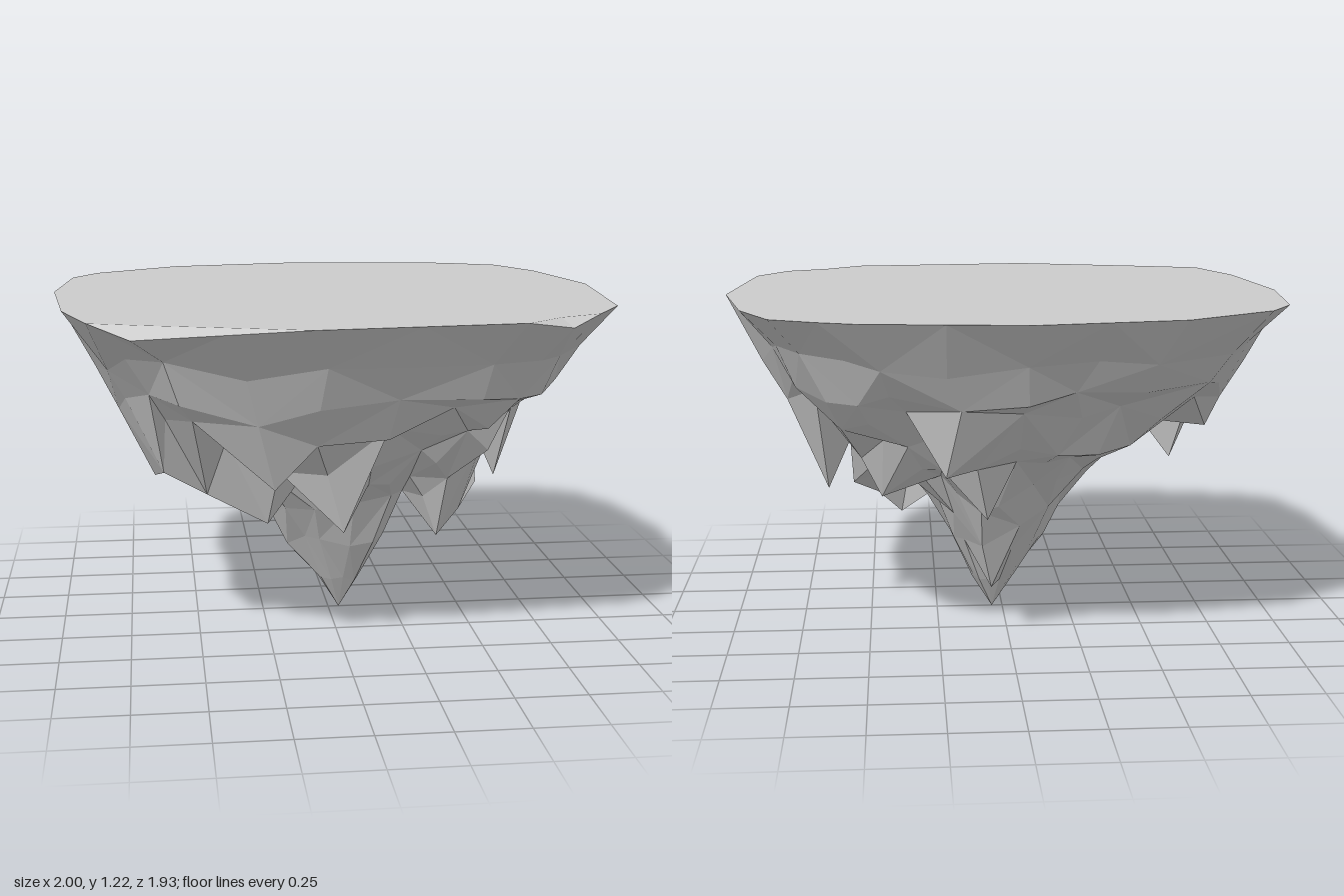
import * as THREE from 'three';

const TOP = 1.22;
const APEX = [0.04, 0, 0];

// Rim outline seen from above: x, z and how far the corner drops below the plateau
const OUTLINE = [
  [1, -0.1, 0], [0.94, 0.52, 0], [0.83, 0.7, 0], [0.71, 0.81, 0.03], [0.54, 0.89, 0],
  [-0.14, 0.96, 0], [-0.72, 0.85, 0.04], [-0.86, 0.73, 0], [-0.95, 0.44, 0],
  [-1, -0.08, 0], [-0.95, -0.52, 0], [-0.86, -0.67, 0], [-0.54, -0.88, 0],
  [-0.04, -0.97, 0], [0.51, -0.91, 0], [0.64, -0.86, 0], [0.8, -0.78, 0], [0.91, -0.55, 0],
];

// Rings of the underside: fraction of the rim radius, height
const RINGS = [
  [0.87, 1.07], [0.79, 0.94], [0.69, 0.84], [0.57, 0.75], [0.45, 0.66],
  [0.34, 0.57], [0.25, 0.46], [0.17, 0.3], [0.08, 0.13],
];

// Hanging rock spikes: tip x, y, z and steepness
const SPIKES = [
  // front
  [0, 0.43, 0.48, 2.8], [-0.26, 0.45, 0.4, 2], [-0.47, 0.55, 0.35, 2],
  [-0.25, 0.62, 0.6, 2], [-0.62, 0.64, 0.38, 2],
  // left flank
  [0.38, 0.33, 0.2, 2.4], [0.47, 0.42, 0.16, 2.4], [0.56, 0.49, 0.03, 2.4],
  [0.65, 0.49, -0.06, 2.2], [0.45, 0.52, -0.32, 2], [0.79, 0.84, -0.12, 1.6],
  [0.52, 0.7, 0.42, 2],
  // back
  [0.08, 0.46, -0.45, 2], [0.23, 0.66, -0.65, 2.2], [-0.3, 0.7, -0.5, 1.8],
  // right flank
  [-0.65, 0.56, 0.08, 2], [-0.73, 0.74, -0.2, 1.8],
  // shoulders of the central spike
  [0.05, 0.12, -0.15, 2], [-0.16, 0.27, 0.04, 2],
];

function seeded(seed) {
  return () => {
    seed = (seed * 16807) % 2147483647;
    return seed / 2147483647 - 0.5;
  };
}

// Split the long rim edges so that the columns are evenly spread
function rimColumns() {
  const columns = [];
  OUTLINE.forEach((a, i) => {
    const b = OUTLINE[(i + 1) % OUTLINE.length];
    columns.push(a);
    if (Math.hypot(a[0] - b[0], a[1] - b[1]) > 0.43) {
      columns.push(a.map((v, k) => (v + b[k]) / 2));
    }
  });
  return columns;
}

function flatMesh(name, corners, material) {
  const geometry = new THREE.BufferGeometry();
  geometry.setAttribute('position', new THREE.Float32BufferAttribute(corners.flat(), 3));
  geometry.computeVertexNormals();
  const mesh = new THREE.Mesh(geometry, material);
  mesh.name = name;
  return mesh;
}

function buildUnderside(columns, material) {
  const rand = seeded(4217);
  const n = columns.length;
  const rings = [columns.map(([x, z, drop]) => [x, TOP - drop, z])];

  for (const [t, height] of RINGS) {
    const rough = t > 0.75 ? 0.4 : 1;
    const ring = [];
    for (let i = 0; i < n; i++) {
      // shift along the rim and radially for a broken rock look
      const shift = rand() * 0.5 * rough;
      const next = columns[(i + (shift > 0 ? 1 : n - 1)) % n];
      const k = Math.abs(shift);
      const s = t * (1 + rand() * 0.08 * rough);
      const x = THREE.MathUtils.lerp(columns[i][0], next[0], k) * s + APEX[0] * (1 - s);
      const z = THREE.MathUtils.lerp(columns[i][1], next[1], k) * s;
      let y = height + rand() * 0.12 * rough * Math.min(1, t * 2);
      for (const [sx, sy, sz, steep] of SPIKES) {
        y = Math.min(y, sy + steep * Math.hypot(x - sx, z - sz));
      }
      ring.push([x, y, z]);
    }
    // the narrow inner rings use every second column only
    rings.push(t < 0.3 ? ring.map((p, i) => ring[i - (i % 2)]) : ring);
  }

  // Pull the nearest unused rock corner onto each spike tip
  const free = new Set(rings.slice(2).flat());
  for (const [sx, sy, sz] of SPIKES) {
    const distance = (p) => Math.hypot(p[0] - sx, p[2] - sz);
    const nearest = [...free].reduce((a, b) => (distance(b) < distance(a) ? b : a));
    nearest.splice(0, 3, sx, sy, sz);
    free.delete(nearest);
  }

  rings.push(columns.map(() => APEX));
  const corners = [];
  const triangle = (a, b, c) => {
    if (a !== b && b !== c && a !== c) corners.push(...a, ...b, ...c);
  };
  for (let j = 0; j < rings.length - 1; j++) {
    for (let i = 0; i < n; i++) {
      const m = (i + 1) % n;
      const [a, b, c, d] = [rings[j][i], rings[j][m], rings[j + 1][i], rings[j + 1][m]];
      if ((i + j) % 2) {
        triangle(a, b, c);
        triangle(b, d, c);
      } else {
        triangle(a, b, d);
        triangle(a, d, c);
      }
    }
  }
  return flatMesh('rockUnderside', corners, material);
}

// Flat plateau with chamfers down to the dropped rim corners
function buildPlateau(columns, material) {
  const corners = [];
  const outer = columns.map(([x, z, drop]) => [x, TOP - drop, z]);
  const inner = columns.map(([x, z, drop]) => [x * (1 - 1.6 * drop), TOP, z * (1 - 1.6 * drop)]);
  columns.forEach(([, , drop], i) => {
    const m = (i + 1) % columns.length;
    corners.push([0, TOP, 0], inner[m], inner[i]);
    if (drop > 0) corners.push(inner[i], inner[m], outer[i]);
    if (columns[m][2] > 0) corners.push(inner[m], outer[m], outer[i]);
  });
  return flatMesh('plateau', corners, material);
}

export function createModel() {
  const group = new THREE.Group();
  group.name = 'floatingIsland';
  const material = new THREE.MeshStandardMaterial({ color: 0xcccccc, flatShading: true });
  const columns = rimColumns();
  group.add(buildPlateau(columns, material), buildUnderside(columns, material));
  return group;
}
